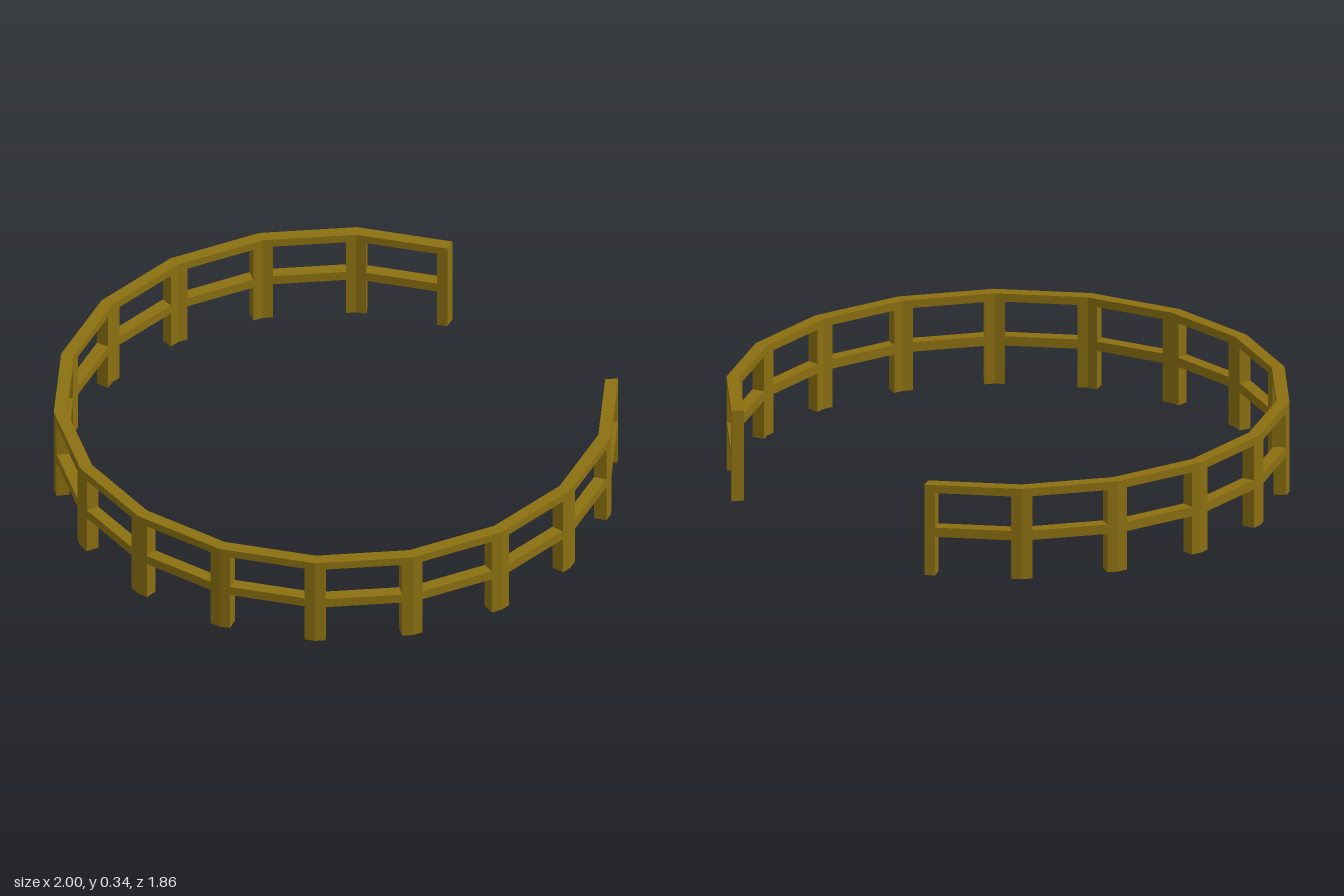
import * as THREE from 'three';

const SIDES = 18, SPANS = 15;              // three spans left open at the back
const OUTER = 1.0, INNER = 0.954;          // corner radii of the ring
const CENTRE_Z = -0.06, TWIST = 0.6;       // ring offset and slight turn in degrees
const HEIGHT = 0.34, POST = 0.11;          // half-post width as a share of a span

// Flat outline of one span: two half posts, a middle rail and a top rail
function spanShape() {
  const a = POST, b = 1 - POST, railLow = 0.145, railHigh = 0.18, topRail = 0.31;
  const points = (list) => list.map(([x, y]) => new THREE.Vector2(x, y));
  const shape = new THREE.Shape(points([
    [0, 0], [a, 0], [a, railLow], [b, railLow], [b, 0], [1, 0], [1, HEIGHT], [0, HEIGHT],
  ]));
  shape.holes.push(new THREE.Path(points([
    [a, railHigh], [a, topRail], [b, topRail], [b, railHigh],
  ])));
  return shape;
}

// Bend the extruded outline onto one side of the ring, with mitred ends
function spanGeometry(shape, index) {
  const geometry = new THREE.ExtrudeGeometry(shape, { depth: 1, bevelEnabled: false });
  const step = (2 * Math.PI) / SIDES;
  const start = THREE.MathUtils.degToRad(TWIST) + (index - SPANS / 2) * step;
  const end = start + step;
  const { lerp } = THREE.MathUtils;
  const position = geometry.attributes.position;
  for (let i = 0; i < position.count; i++) {
    const u = position.getX(i);
    const radius = lerp(INNER, OUTER, position.getZ(i));
    position.setX(i, radius * lerp(Math.sin(start), Math.sin(end), u));
    position.setZ(i, CENTRE_Z + radius * lerp(Math.cos(start), Math.cos(end), u));
  }
  geometry.computeVertexNormals();
  return geometry;
}

export function createModel() {
  const fence = new THREE.Group();
  fence.name = 'fence';
  const wood = new THREE.MeshStandardMaterial({ color: 0x8b6f10, flatShading: true });
  const shape = spanShape();
  for (let i = 0; i < SPANS; i++) {
    const span = new THREE.Mesh(spanGeometry(shape, i), wood);
    span.name = `fenceSpan${i + 1}`;
    fence.add(span);
  }
  return fence;
}
